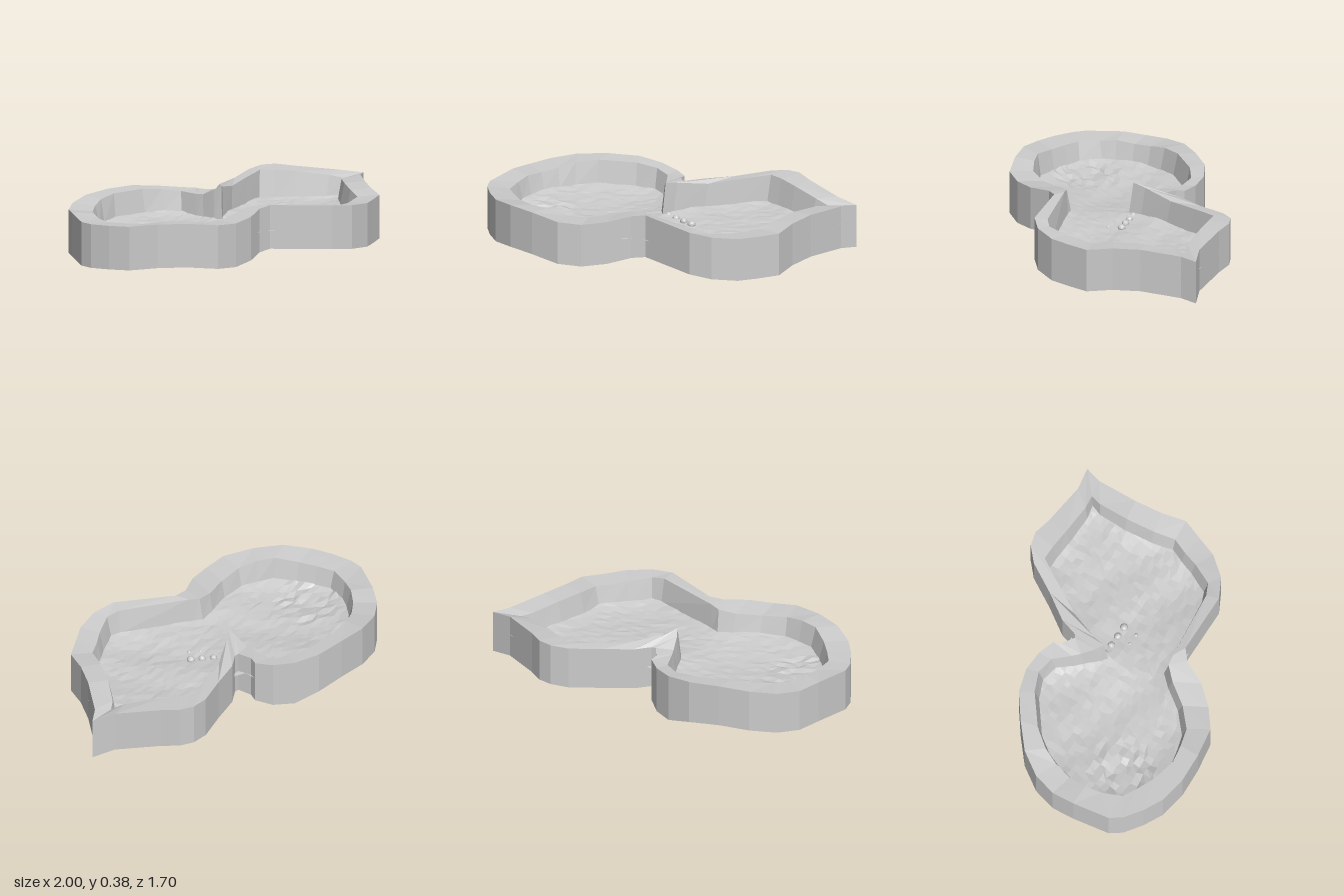
import * as THREE from 'three';

// Outer wall outline: x, z, top height
const OUTER = [
  [-1, .2, .305], [-.965, .05, .315], [-.87, -.1, .335], [-.72, -.23, .345], [-.56, -.35, .34],
  [-.4, -.4, .325], [-.26, -.395, .315], [-.15, -.36, .315], [-.13, -.31, .32], [-.055, -.26, .325],
  [-.03, -.28, .325], [0, -.39, .33], [.11, -.56, .335], [.215, -.75, .35], [.3, -.83, .36],
  [.39, -.855, .36], [.51, -.83, .35], [.8, -.8, .325], [.95, -.83, .3], [.92, -.72, .31],
  [.93, -.45, .325], [.955, -.27, .32], [1, -.11, .305], [.95, .03, .305], [.905, .16, .31],
  [.8, .29, .325], [.67, .36, .34], [.27, .37, .35], [.2, .43, .34], [.135, .58, .32],
  [.03, .705, .305], [-.09, .8, .315], [-.29, .835, .335], [-.48, .845, .335], [-.655, .81, .315],
  [-.78, .745, .31], [-.89, .665, .305], [-.945, .59, .305], [-.99, .35, .315],
];
// Inner edge of the rim, point for point: x, z
const INNER = [
  [-.85, .23], [-.825, .11], [-.78, 0], [-.69, -.12], [-.5, -.27], [-.37, -.325], [-.25, -.305],
  [-.16, -.21], [-.12, -.17], [-.055, -.1], [-.01, -.065], [.005, -.15], [.08, -.35], [.19, -.55],
  [.28, -.71], [.375, -.71], [.51, -.7], [.72, -.69], [.815, -.705], [.795, -.63], [.8, -.43],
  [.825, -.24], [.86, -.1], [.82, 0], [.79, .1], [.725, .24], [.645, .28], [.19, .33], [.12, .34],
  [.045, .42], [-.05, .56], [-.17, .67], [-.29, .705], [-.41, .725], [-.56, .685],
  [-.67, .635], [-.77, .58], [-.825, .455], [-.85, .35],
];
const N = OUTER.length;
// Raised rim where the notch cuts into the basin
const PEAK = { 9: .355, 10: .385, 11: .365 };

const material = new THREE.MeshStandardMaterial({
  color: 0xcccccc, flatShading: true, side: THREE.DoubleSide,
});

function makeMesh(name, positions, indices) {
  const g = new THREE.BufferGeometry();
  g.setAttribute('position', new THREE.Float32BufferAttribute(positions, 3));
  g.setIndex(indices);
  g.computeVertexNormals();
  const mesh = new THREE.Mesh(g, material);
  mesh.name = name;
  return mesh;
}

// Closed band between two loops of equal length
function band(name, a, b) {
  const idx = [];
  for (let i = 0; i < N; i++) {
    const j = (i + 1) % N;
    idx.push(i, i + N, j, j, i + N, j + N);
  }
  return makeMesh(name, [...a, ...b].flat(), idx);
}

// Repeatable noise on whole-number cells, -1 to 1
function noise(i, j) {
  const s = Math.sin(i * 127.1 + j * 311.7) * 43758.5453;
  return 2 * (s - Math.floor(s)) - 1;
}

function inside(loop, x, z) {
  let result = false;
  for (let i = 0, j = N - 1; i < N; j = i++) {
    const [xi, zi] = loop[i], [xj, zj] = loop[j];
    if ((zi > z) !== (zj > z) && x < (xj - xi) * (z - zi) / (zj - zi) + xi) result = !result;
  }
  return result;
}

// Closest point on an outline, with its distance
function nearest(loop, x, z) {
  let best = { d: Infinity };
  for (let i = 0; i < N; i++) {
    const a = loop[i], b = loop[(i + 1) % N];
    const dx = b[0] - a[0], dz = b[1] - a[1];
    const t = THREE.MathUtils.clamp(((x - a[0]) * dx + (z - a[1]) * dz) / (dx * dx + dz * dz), 0, 1);
    const px = a[0] + t * dx, pz = a[1] + t * dz;
    const d = Math.hypot(x - px, z - pz);
    if (d < best.d) best = { d, x: px, z: pz };
  }
  return best;
}

// Shallow dish: low in the middle, level beneath the rim
function floorHeight(x, z) {
  const depth = inside(INNER, x, z) ? nearest(INNER, x, z).d : 0;
  return .15 + .04 * Math.exp(-depth / .12)
    + .006 * Math.sin(x * 7 + z * 4) + .004 * Math.sin(z * 17 - x * 5);
}

const rimOuter = OUTER.map(([x, z, y]) => [x, y, z]);
const rimInner = INNER.map(([x, z], i) => [x, PEAK[i] ?? OUTER[i][2] - .008, z]);
// The wall hangs lower behind the round basin
const wallFoot = OUTER.map(([x, z, y]) =>
  [x, y - .283 - .04 * Math.exp(-((x + .35) ** 2 + (z + .4) ** 2) / .03), z]);
// Foot of the steep bank, a little inside the rim
const bankFoot = INNER.map(([x, z], i) => {
  const dx = x - OUTER[i][0], dz = z - OUTER[i][1], k = .03 / Math.hypot(dx, dz);
  const fx = x + dx * k, fz = z + dz * k;
  return [fx, floorHeight(fx, fz) - .006, fz];
});

// Uneven floor: a grid reaching the outer wall, its border snapped to the wall
function basinFloor() {
  const step = .045, nx = 46, nz = 40, x0 = -1.035, z0 = -.9;
  const pos = [], within = [], idx = [];
  for (let j = 0; j <= nz; j++) for (let i = 0; i <= nx; i++) {
    let x = x0 + (i + .25 * noise(i, j + 90)) * step;
    let z = z0 + (j + .25 * noise(i + 90, j)) * step;
    const ok = inside(OUTER, x, z);
    within.push(ok);
    if (!ok) ({ x, z } = nearest(OUTER, x, z));
    const rough = Math.hypot(x + .6, z - .45) < .22 ? .009 : .003;
    pos.push(x, floorHeight(x, z) + rough * noise(i, j), z);
  }
  for (let j = 0; j < nz; j++) for (let i = 0; i < nx; i++) {
    const a = j * (nx + 1) + i, b = a + 1, c = a + nx + 1, d = c + 1;
    if (within[a] || within[b] || within[c] || within[d]) idx.push(a, c, b, b, c, d);
  }
  return makeMesh('basinFloor', pos, idx);
}

// Two rows of small boulders, big ones behind
function boulders() {
  const group = new THREE.Group();
  group.name = 'boulders';
  for (const [z, r, y] of [[-.07, .026, .165], [.02, .014, .155]]) {
    for (let k = 0; k < 4; k++) {
      const rock = new THREE.Mesh(new THREE.IcosahedronGeometry(r, 1), material);
      rock.name = 'boulder';
      rock.position.set(.01 + k * .072, y, z);
      rock.rotation.set(k, k * 2, 0);
      rock.scale.set(1, .9, .85 + .05 * k);
      group.add(rock);
    }
  }
  return group;
}

export function createModel() {
  const model = new THREE.Group();
  model.name = 'twinBasin';
  model.add(
    band('outerWall', rimOuter, wallFoot),
    band('rim', rimOuter, rimInner),
    band('bank', rimInner, bankFoot),
    basinFloor(),
    boulders(),
  );
  return model;
}
